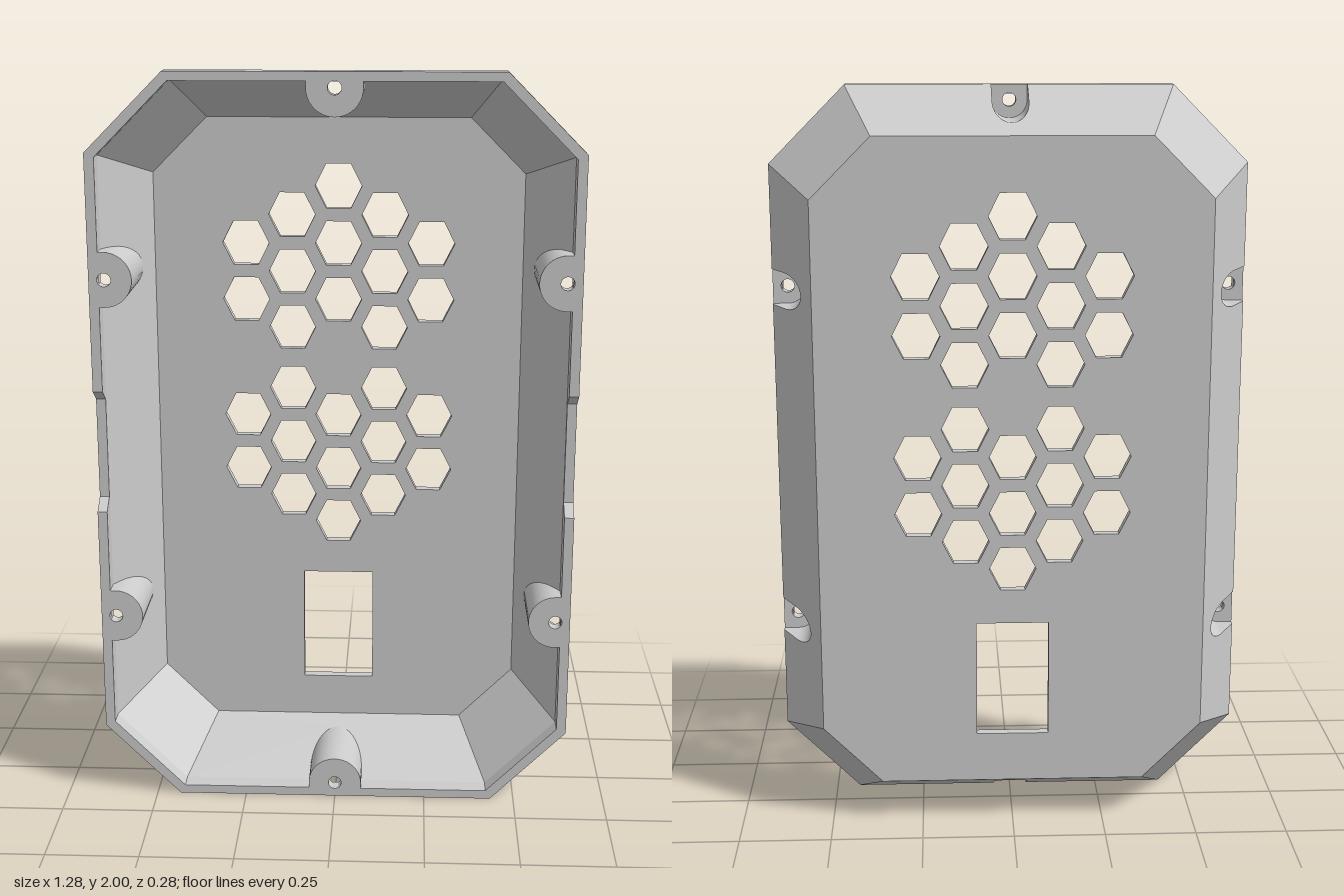
import * as THREE from 'three';

const material = new THREE.MeshStandardMaterial({ color: 0xcccccc, side: THREE.DoubleSide });

// Octagonal sections of the shell: half width, half height, corner chamfer
const OUTER = { w: 0.64, h: 1, c: 0.205 };
const BACK = { w: 0.52, h: 0.883, c: 0.16 };
const INNER = { w: 0.614, h: 0.976, c: 0.192 };
const FLOOR = { w: 0.5, h: 0.863, c: 0.148 };
const Z_FRONT = 0.14, Z_BAND = 0.09, Z_FLOOR = -0.11, Z_BACK = -0.137;
const Z_SEAT = 0.105, Z_NOTCH = 0.097;
const SLOT_R = 0.048, BOSS_R = 0.073, SCREW_R = 0.018, SCREW_INSET = 0.04;
const NOTCH_TOP = 0.167, NOTCH_BOTTOM = 0.137;

const corners = ({ w, h, c }) => [
  [w, c - h], [w, h - c], [w - c, h], [c - w, h],
  [-w, h - c], [-w, c - h], [c - w, -h], [w - c, -h],
];
const path = (Type, pts) => new Type(pts.map(([x, y]) => new THREE.Vector2(x, y)));
const circle = (x, y, r, n = 24) => Array.from({ length: n }, (_, i) => {
  const a = (i / n) * Math.PI * 2;
  return [x + r * Math.cos(a), y + r * Math.sin(a)];
});

// U outline open towards the outside, from depth dEnd inward around (s, d) and back
function uOutline(s, d, r, dEnd) {
  const pts = [[s - r, dEnd]];
  for (let i = 0; i <= 20; i++) {
    const a = Math.PI + (i / 20) * Math.PI;
    pts.push([s + r * Math.cos(a), d + r * Math.sin(a)]);
  }
  pts.push([s + r, dEnd]);
  return pts;
}

// One of the eight sides, worked in coordinates s (along), d (outward), z
function buildSide(k) {
  const group = new THREE.Group();
  const a = (k * Math.PI) / 4, nx = Math.cos(a), ny = Math.sin(a);
  const world = ([s, d, z]) => [d * nx - s * ny, d * ny + s * nx, z];
  const edge = (ring) => {
    const c = corners(ring), p = c[k], q = c[(k + 1) % 8];
    const along = ([x, y]) => -x * ny + y * nx;
    return { s0: along(p), s1: along(q), d: p[0] * nx + p[1] * ny };
  };
  const add = (name, geo) => {
    geo.computeVertexNormals();
    const mesh = new THREE.Mesh(geo, material);
    mesh.name = name;
    group.add(mesh);
  };
  const sheet = (name, pts, map, holes = []) => {
    const shape = path(THREE.Shape, pts);
    shape.holes = holes.map((h) => path(THREE.Path, h));
    const geo = new THREE.ShapeGeometry(shape), pos = geo.attributes.position;
    for (let i = 0; i < pos.count; i++) pos.setXYZ(i, ...world(map(pos.getX(i), pos.getY(i))));
    add(name, geo);
  };
  const strip = (name, A, B, flat = false) => {
    const geo = new THREE.BufferGeometry(), index = [];
    geo.setAttribute('position', new THREE.Float32BufferAttribute([...A, ...B].flatMap(world), 3));
    for (let i = 0, n = A.length; i < n - 1; i++) index.push(i, i + 1, n + i, i + 1, n + i + 1, n + i);
    geo.setIndex(index);
    add(name, flat ? geo.toNonIndexed() : geo);
  };

  const out = edge(OUTER), back = edge(BACK), inn = edge(INNER), floor = edge(FLOOR);
  const hasNotch = k % 4 === 0;
  const screws = hasNotch ? [-0.467, 0.467] : k % 4 === 2 ? [0] : [];
  const screwD = out.d - SCREW_INSET;
  const slope = (e, f, zf) => (d) => zf + ((d - f.d) / (e.d - f.d)) * (Z_BAND - zf);
  const zOut = slope(out, back, Z_BACK), zIn = slope(inn, floor, Z_FLOOR);

  // Sloping wall skins, cut away where the screw pockets and bosses sit
  const wall = (name, e, f, r, z) => sheet(name,
    [[f.s1, f.d], [f.s0, f.d], [e.s0, e.d], ...screws.flatMap((s) => uOutline(s, screwD, r, e.d)), [e.s1, e.d]],
    (s, d) => [s, d, z(d)]);
  wall('outerWall', out, back, SLOT_R, zOut);
  wall('innerWall', inn, floor, BOSS_R, zIn);

  // Upright bands at the rim, with pocket mouths and the cable notch
  const notch = hasNotch ? [[NOTCH_TOP, Z_FRONT], [NOTCH_BOTTOM, Z_NOTCH], [-NOTCH_BOTTOM, Z_NOTCH], [-NOTCH_TOP, Z_FRONT]] : [];
  for (const [name, e] of [['outerBand', out], ['innerBand', inn]]) {
    const mouths = screws.flatMap((s) => [[s - SLOT_R, Z_BAND], [s - SLOT_R, Z_SEAT], [s + SLOT_R, Z_SEAT], [s + SLOT_R, Z_BAND]]);
    sheet(name, [[e.s0, Z_BAND], ...mouths, [e.s1, Z_BAND], [e.s1, Z_FRONT], ...notch, [e.s0, Z_FRONT]],
      (s, z) => [s, e.d, z]);
  }
  if (hasNotch) {
    strip('cableNotch', notch.map(([s, z]) => [s, inn.d, z]), notch.map(([s, z]) => [s, out.d, z]), true);
  }

  // Front rim, joined with the boss faces and drilled for screws
  const rim = (i0, i1, o0, o1, list) => sheet('frontRim',
    [[i0, inn.d], ...list.flatMap((s) => uOutline(s, screwD, BOSS_R, inn.d)), [i1, inn.d], [o1, out.d], [o0, out.d]],
    (s, d) => [s, d, Z_FRONT], list.map((s) => circle(s, screwD, SCREW_R)));
  if (hasNotch) {
    rim(inn.s0, -NOTCH_TOP, out.s0, -NOTCH_TOP, [screws[0]]);
    rim(NOTCH_TOP, inn.s1, NOTCH_TOP, out.s1, [screws[1]]);
  } else rim(inn.s0, inn.s1, out.s0, out.s1, screws);

  // Screw bosses inside and the matching pockets outside
  for (const s of screws) {
    const boss = uOutline(s, screwD, BOSS_R, inn.d), slot = uOutline(s, screwD, SLOT_R, out.d);
    const hole = circle(s, screwD, SCREW_R), ring = [...hole, hole[0]];
    const at = (z) => ([x, d]) => [x, d, z];
    strip('screwBoss', boss.map(([x, d]) => [x, d, zIn(d)]), boss.map(at(Z_FRONT)));
    strip('screwPocket', slot.map(([x, d]) => [x, d, zOut(d)]), slot.map(at(Z_SEAT)));
    sheet('screwSeat', slot, (x, d) => [x, d, Z_SEAT], [hole]);
    strip('screwHole', ring.map(at(Z_SEAT)), ring.map(at(Z_FRONT)));
  }
  return group;
}

// Back plate with two hexagonal grilles and a rectangular window
function buildBackPlate() {
  const shape = path(THREE.Shape, corners(BACK));
  const hex = (x, y) => shape.holes.push(path(THREE.Path,
    [[0.063, 0], [0.033, 0.06], [-0.033, 0.06], [-0.063, 0], [-0.033, -0.06], [0.033, -0.06]].map(([a, b]) => [x + a, y + b])));
  const pitch = 0.155;
  // Centre column, then mirrored columns outward
  const grille = (top, centre, near, far) => [centre, near, far].forEach((rows, col) => {
    for (const x of col ? [-0.126 * col, 0.126 * col] : [0]) {
      for (const row of rows) hex(x, top - row * pitch);
    }
  });
  grille(0.68, [0, 1, 2], [0.5, 1.5, 2.5], [1, 2]);
  grille(0.12, [0.5, 1.5, 2.5], [0, 1, 2], [0.5, 1.5]);
  shape.holes.push(path(THREE.Path, [[-0.098, -0.745], [0.098, -0.745], [0.098, -0.422], [-0.098, -0.422]]));
  const geo = new THREE.ExtrudeGeometry(shape, { depth: Z_FLOOR - Z_BACK, bevelEnabled: false });
  geo.translate(0, 0, Z_BACK);
  const mesh = new THREE.Mesh(geo, material);
  mesh.name = 'backPlate';
  return mesh;
}

export function createModel() {
  const model = new THREE.Group();
  model.name = 'enclosureHalf';
  const shell = new THREE.Group();
  shell.name = 'shell';
  shell.position.y = 1;
  shell.add(buildBackPlate());
  const names = ['leftSide', 'upperLeftCorner', 'topSide', 'upperRightCorner',
    'rightSide', 'lowerRightCorner', 'bottomSide', 'lowerLeftCorner'];
  names.forEach((name, k) => {
    const side = buildSide(k);
    side.name = name;
    shell.add(side);
  });
  model.add(shell);
  return model;
}
